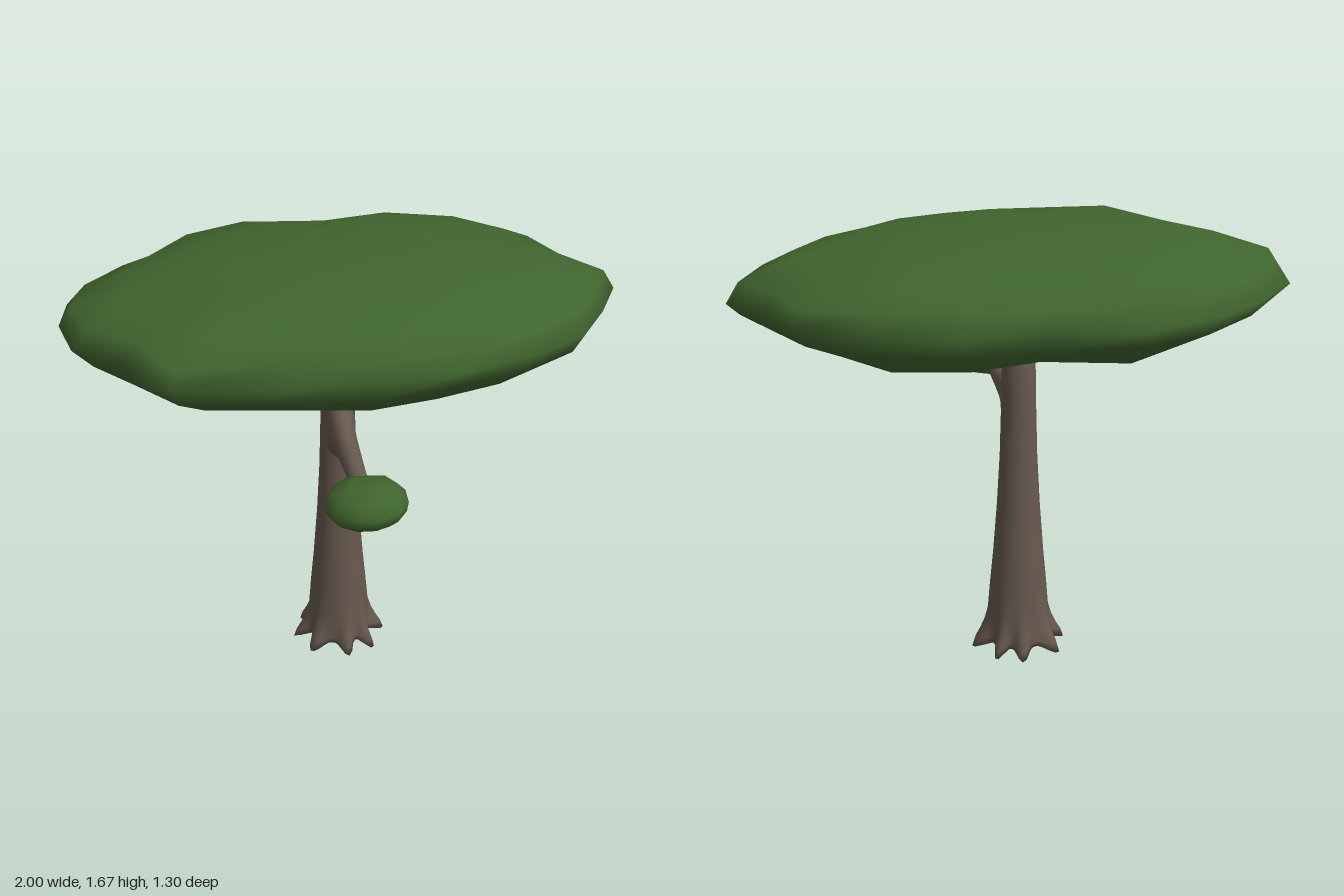
import * as THREE from 'three';

const leafGreen = new THREE.MeshStandardMaterial({ color: 0x40652e });
const barkBrown = new THREE.MeshStandardMaterial({ color: 0x66584e });

// Small seeded generator, returns values from -1 to 1
function seeded(seed) {
  return () => {
    seed = (seed * 16807) % 2147483647;
    return (seed / 2147483647) * 2 - 1;
  };
}

// Joins equal-sized rings of [x, y, z] points, listed bottom to top, into a skin
function loft(rings) {
  const n = rings[0].length;
  const index = [];
  for (let j = 0; j < rings.length - 1; j++) {
    for (let i = 0; i < n; i++) {
      const a = j * n + i, b = j * n + ((i + 1) % n);
      index.push(a, a + n, b, b, a + n, b + n);
    }
  }
  // Close both ends with a fan around the ring's middle
  const points = rings.flat();
  [rings[0], rings[rings.length - 1]].forEach((ring, end) => {
    const centre = points.length;
    const start = end ? (rings.length - 1) * n : 0;
    points.push([0, 1, 2].map((k) => ring.reduce((sum, p) => sum + p[k], 0) / n));
    for (let i = 0; i < n; i++) {
      const a = start + i, b = start + ((i + 1) % n);
      if (end) index.push(a, centre, b);
      else index.push(a, b, centre);
    }
  });
  const geometry = new THREE.BufferGeometry();
  geometry.setAttribute('position', new THREE.Float32BufferAttribute(points.flat(), 3));
  geometry.setIndex(index);
  geometry.computeVertexNormals();
  return geometry;
}

function circle(n, fn) {
  return Array.from({ length: n }, (_, i) => {
    const t = (i / n) * Math.PI * 2;
    return fn(-Math.cos(t), -Math.sin(t), t);
  });
}

function part(name, geometry, material) {
  const mesh = new THREE.Mesh(geometry, material);
  mesh.name = name;
  return mesh;
}

// Wide, flat crown that follows an irregular outline
function canopyGeometry() {
  const cz = -0.06;
  const outline = [
    [-1, -0.06], [-0.97, -0.25], [-0.8, -0.41], [-0.6, -0.55], [-0.34, -0.65],
    [-0.02, -0.62], [0.28, -0.65], [0.58, -0.57], [0.8, -0.43], [0.88, -0.24],
    [1, -0.06], [0.9, 0.12], [0.77, 0.3], [0.55, 0.43], [0.27, 0.5],
    [0, 0.53], [-0.3, 0.5], [-0.65, 0.47], [-0.79, 0.28], [-0.96, 0.12],
  ];
  // [share of the outline, height]
  const levels = [
    [0.32, 1.262], [0.55, 1.285], [0.78, 1.33], [0.94, 1.4], [1, 1.46],
    [0.94, 1.53], [0.8, 1.585], [0.6, 1.635], [0.36, 1.666],
  ];
  const rand = seeded(71);
  return loft(levels.map(([s, y]) => outline.map(([x, z]) => {
    const blunt = ((z - cz) / 0.6) ** 2;
    const k = s + 0.55 * s * s * (1 - s) * Math.min(blunt, 1);
    const rough = s > 0.7 && s < 1 ? 0.018 : 0;
    const wobble = s > 0.7 ? 0.012 : 0.003;
    const grow = Math.min(1, k + rough * rand());
    return [x * grow, y + wobble * rand(), cz + (z - cz) * grow];
  })));
}

// Trunk with roots that spread and dip at the foot
const rootSpread = (t) => (0.5 + 0.5 * Math.cos(8 * t + 0.7 * Math.sin(3 * t))) ** 1.5;

function trunkRing(y, r, flare, lift) {
  return circle(64, (x, z, t) => {
    const root = rootSpread(t);
    const radius = r + flare * root * (1 + 0.2 * Math.sin(2 * t + 1));
    return [x * radius, y + lift * (1 - root), z * radius];
  });
}

function trunkGeometry() {
  return loft([
    [0, 0.122, 0.052, 0.035], [0.035, 0.121, 0.043, 0.02], [0.07, 0.119, 0.028, 0.012],
    [0.11, 0.118, 0.013, 0.005], [0.16, 0.115, 0.003, 0], [0.25, 0.11, 0, 0],
    [0.4, 0.096, 0, 0], [0.6, 0.081, 0, 0], [0.8, 0.07, 0, 0],
    [1.05, 0.063, 0, 0], [1.3, 0.06, 0, 0],
  ].map((level) => trunkRing(...level)));
}

// Side branch, swelling where it meets the trunk
function branchGeometry() {
  const geometry = loft([
    [-0.02, 0.06, 0.15], [0.01, 0.055, 0.125], [0.03, 0.05, 0.095], [0.06, 0.047, 0.07],
    [0.11, 0.044, 0.053], [0.2, 0.04, 0.042], [0.3, 0.036, 0.036], [0.42, 0.032, 0.033],
  ].map(([along, rx, ry]) => circle(20, (x, z) => [x * rx, along, z * ry])));
  return geometry.rotateX(Math.PI / 2);
}

// Small leaf clump on the branch tip
function clumpGeometry() {
  const rand = seeded(19);
  return loft([
    [0.4, -0.068], [0.75, -0.052], [0.97, -0.02], [1, 0.012], [0.82, 0.048], [0.45, 0.07],
  ].map(([s, y]) => circle(11, (x, z) => {
    const k = s * (1 + 0.03 * rand());
    return [x * 0.145 * k, y + 0.004 * rand(), z * 0.13 * k];
  })));
}

// Bare patch under the crown, folded along one diagonal
function patchGeometry() {
  const geometry = new THREE.BufferGeometry();
  const a = [0.05, 1.256, 0], b = [0.35, 1.252, 0], c = [0.35, 1.262, 0.22], d = [0.05, 1.252, 0.22];
  geometry.setAttribute('position',
    new THREE.Float32BufferAttribute([a, b, d, b, c, d].flat(), 3));
  geometry.computeVertexNormals();
  return geometry;
}

export function createModel() {
  const tree = new THREE.Group();
  tree.name = 'tree';

  const trunk = part('trunk', trunkGeometry(), barkBrown);
  trunk.position.set(-0.025, 0, -0.06);

  const branch = part('branch', branchGeometry(), barkBrown);
  branch.position.set(-0.025, 0.997, 0);

  const clump = part('branchLeaves', clumpGeometry(), leafGreen);
  clump.position.set(-0.025, 1, 0.518);

  tree.add(
    trunk, branch, clump,
    part('canopy', canopyGeometry(), leafGreen),
    part('canopyUnderPatch', patchGeometry(), barkBrown),
  );
  return tree;
}
